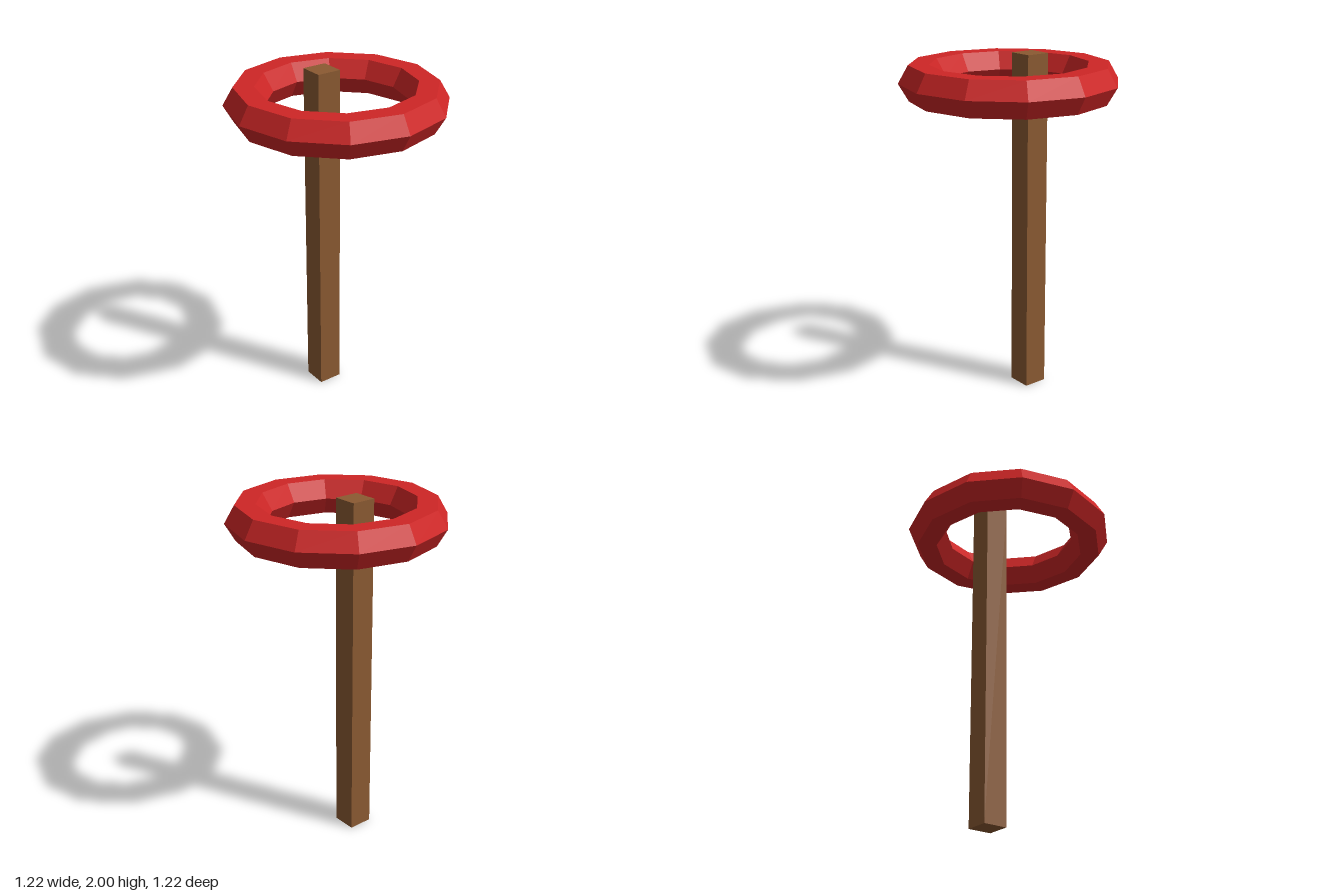
import * as THREE from 'three';

export function createModel() {
  const model = new THREE.Group();
  const wood = new THREE.MeshStandardMaterial({ color: 0x8b5a32, flatShading: true });
  wood.name = 'brown wood';
  const red = new THREE.MeshStandardMaterial({ color: 0xce2626, flatShading: true });
  red.name = 'red';

  // Square post, standing behind the ring's centre
  const post = new THREE.Mesh(new THREE.BoxGeometry(0.142, 2, 0.142), wood);
  post.name = 'post';
  post.position.set(0, 1, -0.143);

  // Twelve-sided ring with a hexagonal section, lying flat
  const ringGeometry = new THREE.TorusGeometry(0.498, 0.114, 6, 12).rotateX(Math.PI / 2);
  const ring = new THREE.Mesh(ringGeometry, red);
  ring.name = 'ring';
  ring.position.y = 1.859;

  model.add(post, ring);
  return model;
}
